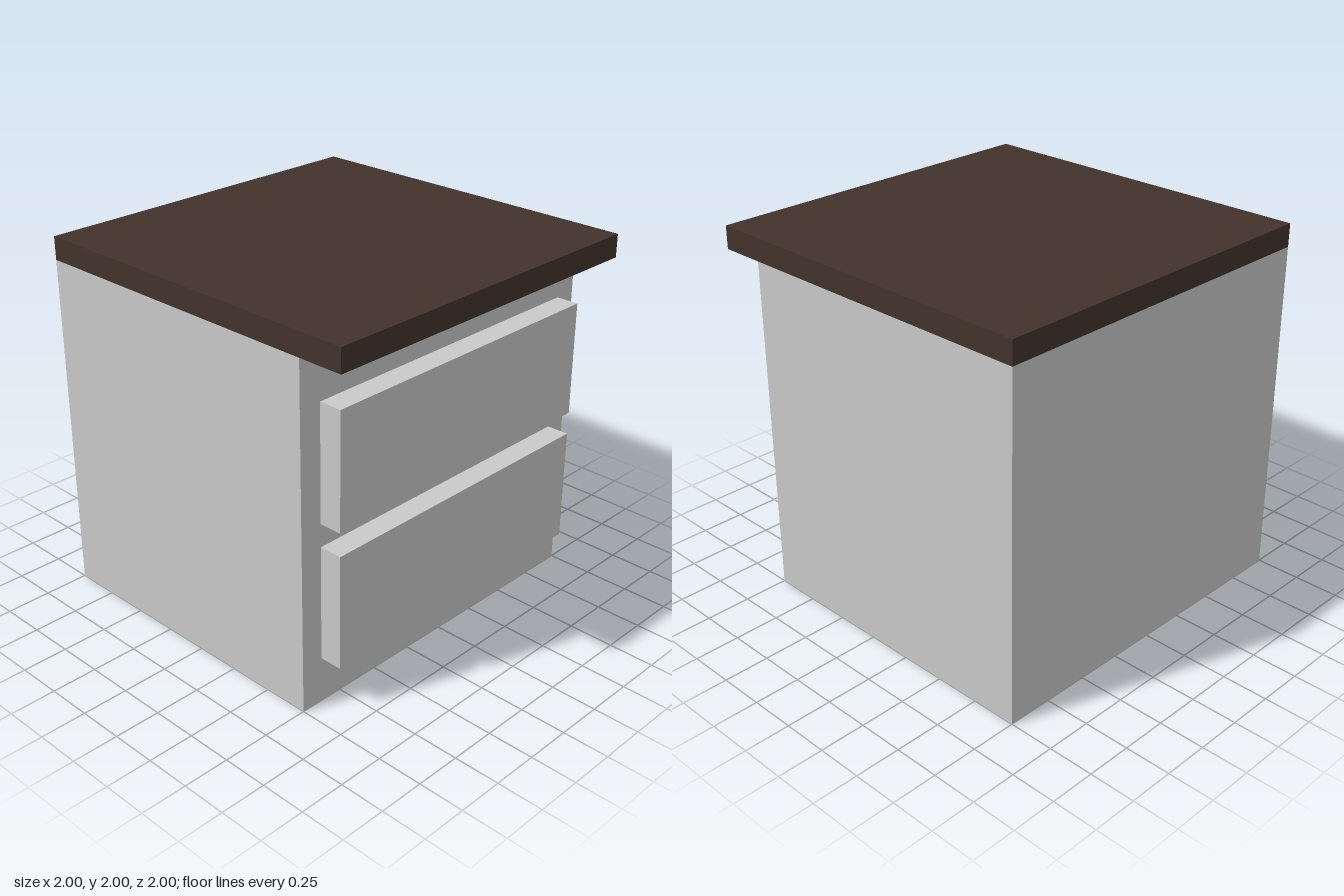
import * as THREE from 'three';

const paint = new THREE.MeshStandardMaterial({ color: 0xc9c9c9 });
paint.name = 'light grey';
const wood = new THREE.MeshStandardMaterial({ color: 0x42332b });
wood.name = 'dark brown';

// Box given by its lower and upper corners
function box(name, material, [x0, y0, z0], [x1, y1, z1]) {
  const mesh = new THREE.Mesh(new THREE.BoxGeometry(x1 - x0, y1 - y0, z1 - z0), material);
  mesh.position.set((x0 + x1) / 2, (y0 + y1) / 2, (z0 + z1) / 2);
  mesh.name = name;
  return mesh;
}

export function createModel() {
  const cabinet = new THREE.Group();
  cabinet.name = 'drawerCabinet';

  // Carcass, and a worktop that overhangs the front
  cabinet.add(box('carcass', paint, [-1, 0, -1], [1, 1.875, 0.75]));
  cabinet.add(box('worktop', wood, [-1, 1.875, -1], [1, 2, 1]));

  // Two raised drawer fronts
  [['lowerDrawer', 0.25], ['upperDrawer', 1]].forEach(([name, y]) => {
    cabinet.add(box(name, paint, [-0.875, y, 0.75], [0.875, y + 0.625, 0.875]));
  });

  return cabinet;
}
